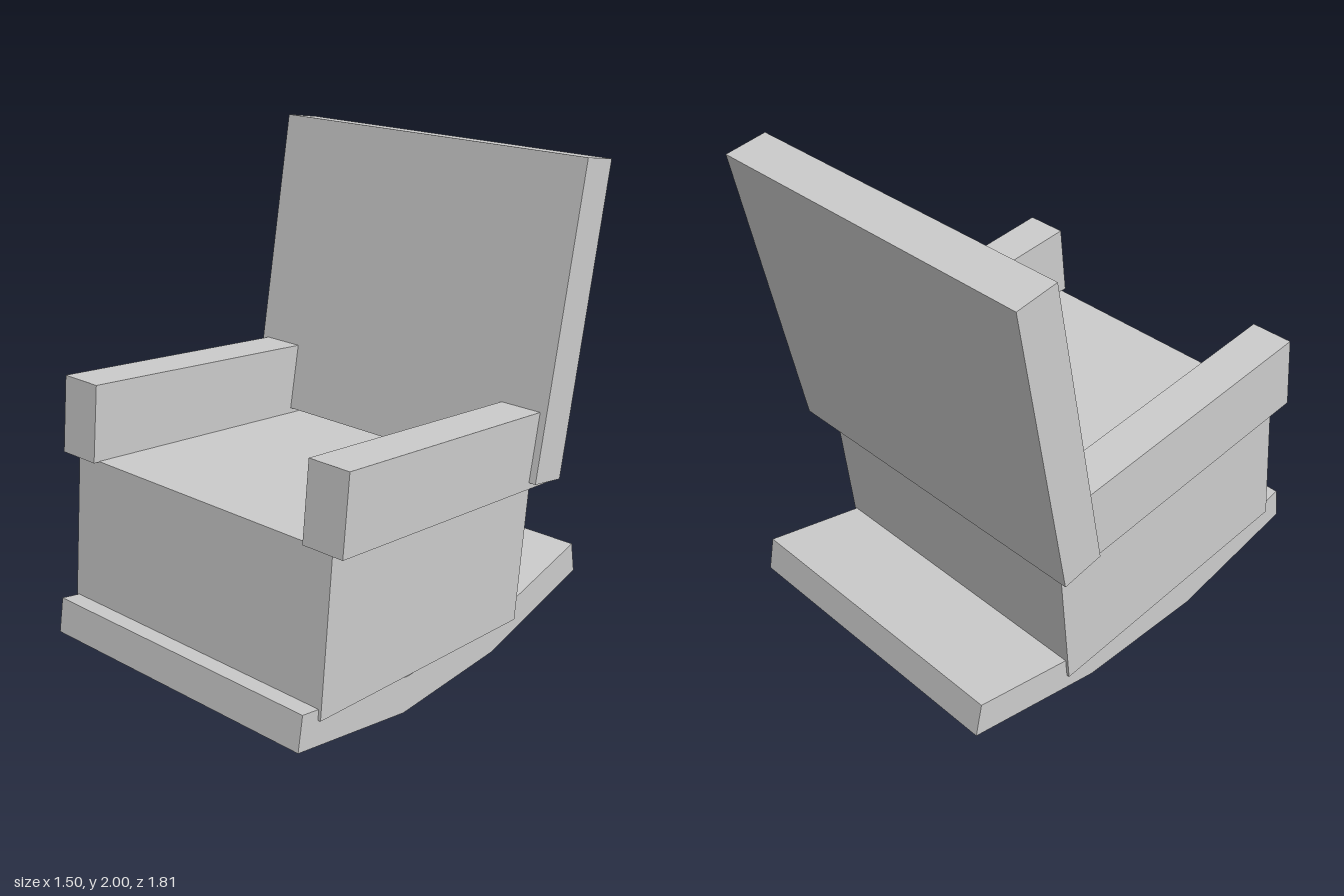
import * as THREE from 'three';

const material = new THREE.MeshStandardMaterial({ color: 0xcccccc, flatShading: true });

// A side outline of [z, y] corners, extruded across x and centred on x
function slab(name, width, x, outline) {
  const shape = new THREE.Shape(outline.map(([z, y]) => new THREE.Vector2(z, y)));
  const geometry = new THREE.ExtrudeGeometry(shape, { depth: width, bevelEnabled: false });
  geometry.translate(0, 0, -width / 2);
  geometry.rotateY(-Math.PI / 2);
  const mesh = new THREE.Mesh(geometry, material);
  mesh.name = name;
  mesh.position.x = x;
  return mesh;
}

export function createModel() {
  const chair = new THREE.Group();
  chair.name = 'rockingChair';

  // Full-width rocker with upswept ends
  chair.add(slab('rocker', 1.286, 0, [
    [0.905, 0.132], [0.305, 0], [-0.28, 0], [-0.905, 0.13],
    [-0.875, 0.27], [-0.28, 0.15], [0.28, 0.15], [0.88, 0.275],
  ]));

  // Seat block, tilted back
  chair.add(slab('seat', 1.31, 0, [
    [0.8, 0.215], [0.735, 0.85], [-0.487, 0.715], [-0.425, 0.095],
  ]));

  // Reclined backrest
  chair.add(slab('backrest', 1.5, 0, [
    [-0.375, 0.75], [-0.615, 2], [-0.79, 1.97], [-0.555, 0.715],
  ]));

  // Armrests, their rear ends running into the backrest
  for (const [name, side] of [['leftArmrest', 1], ['rightArmrest', -1]]) {
    chair.add(slab(name, 0.18, side * 0.63, [
      [0.76, 0.85], [0.725, 1.162], [-0.56, 1.016], [-0.525, 0.705],
    ]));
  }

  return chair;
}
